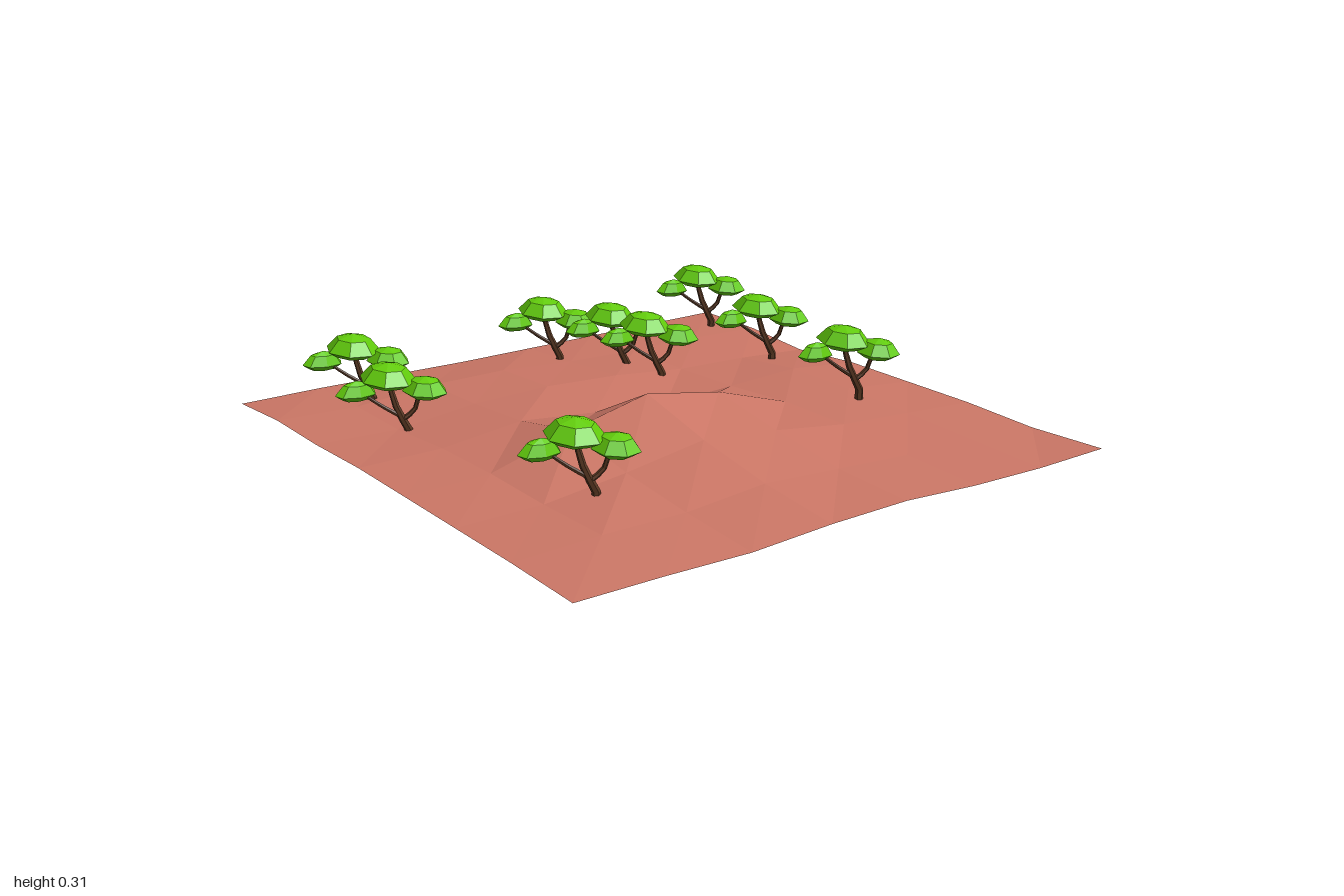
import * as THREE from 'three';

const mat = (color, extra = {}) => new THREE.MeshStandardMaterial({ color, flatShading: true, ...extra });
const groundMat = mat(0xcc7766, { side: THREE.DoubleSide });
const barkMat = mat(0x553520);
const leafMat = mat(0x62cc0c);

// Ground heights in hundredths: rows run back to front, columns -x to +x
const HEIGHTS = [
  [3, 3, 2.5, 2, 2, 2, 2, 2],
  [5, 4, 6, 6, 4, 3, 3, 2],
  [5, 4, 7, 7.5, 6, 3, 2, 0],
  [6, 6, 9, 6, 3, 4, 5, 2],
  [6, 6.5, 14, 20, 15, 6, 5, 2],
  [6, 6, 9, 13, 10, 6, 4, 2],
  [6, 6.5, 6, 8, 6, 4, 3, 1],
  [5.5, 5, 4, 5, 5, 3, 2, 2],
];

function makeGround() {
  const geo = new THREE.PlaneGeometry(2, 2, 7, 7).rotateX(-Math.PI / 2);
  HEIGHTS.flat().forEach((h, i) => geo.attributes.position.setY(i, h / 100));
  geo.computeVertexNormals();
  const ground = new THREE.Mesh(geo, groundMat);
  ground.name = 'ground';
  return ground;
}

// Tapered limb with a few sides following a curve
function makeLimb(name, points, r0, r1) {
  const curve = new THREE.CatmullRomCurve3(points.map((p) => new THREE.Vector3(...p)));
  const steps = 5, sides = 6;
  const geo = new THREE.TubeGeometry(curve, steps, 1, sides, false);
  const pos = geo.attributes.position, v = new THREE.Vector3();
  for (let i = 0; i < pos.count; i++) {
    const t = Math.floor(i / (sides + 1)) / steps;
    const c = curve.getPointAt(t);
    v.fromBufferAttribute(pos, i).sub(c).multiplyScalar(r0 + (r1 - r0) * t).add(c);
    pos.setXYZ(i, v.x, v.y, v.z);
  }
  geo.computeVertexNormals();
  const limb = new THREE.Mesh(geo, barkMat);
  limb.name = name;
  return limb;
}

// Faceted umbrella-shaped leaf clump
const clumpGeo = new THREE.LatheGeometry(
  [[0, -0.75], [0.6, -0.8], [1, -0.3], [0.62, 0.65], [0, 1]].map((p) => new THREE.Vector2(...p)), 7);

function makeClump(name, center, size, turn) {
  const clump = new THREE.Mesh(clumpGeo, leafMat);
  clump.name = name;
  clump.position.set(...center);
  clump.scale.set(...size);
  clump.rotation.set(0.08, turn, -0.06);
  return clump;
}

function makeTree() {
  const tree = new THREE.Group();
  tree.name = 'tree';
  tree.add(
    makeLimb('trunk', [[0.045, -0.01, 0.035], [0.045, 0.04, 0.035], [0.02, 0.09, 0.025], [0.01, 0.14, 0.01], [0, 0.2, 0]], 0.015, 0.008),
    makeLimb('rightBranch', [[0.025, 0.08, 0.025], [-0.03, 0.12, 0.005], [-0.1, 0.18, -0.02]], 0.008, 0.005),
    makeLimb('leftBranch', [[0.03, 0.07, 0.03], [0.065, 0.1, 0.045], [0.075, 0.14, 0.055], [0.09, 0.18, 0.065]], 0.009, 0.006),
    makeClump('topClump', [0, 0.215, 0], [0.09, 0.043, 0.092], 0.3),
    makeClump('rightClump', [-0.1, 0.175, -0.025], [0.072, 0.035, 0.035], 0),
    makeClump('leftClump', [0.093, 0.175, 0.07], [0.07, 0.038, 0.074], 0.7),
  );
  return tree;
}

export function createModel() {
  const model = new THREE.Group();
  model.name = 'hillWithTrees';
  model.add(makeGround());

  // Trees: x, base y, z
  const spots = [
    [-0.68, 0.012, -0.79], [-0.74, 0.012, -0.43], [0.09, 0.012, -0.81],
    [0.24, 0.012, -0.6], [0.27, 0.012, -0.43], [0.835, 0.012, -0.86],
    [0.74, 0.012, -0.38], [0.62, 0.05, 0.21], [-0.62, 0.05, 0.45],
  ];
  for (const spot of spots) {
    const tree = makeTree();
    tree.position.set(...spot);
    model.add(tree);
  }
  return model;
}
